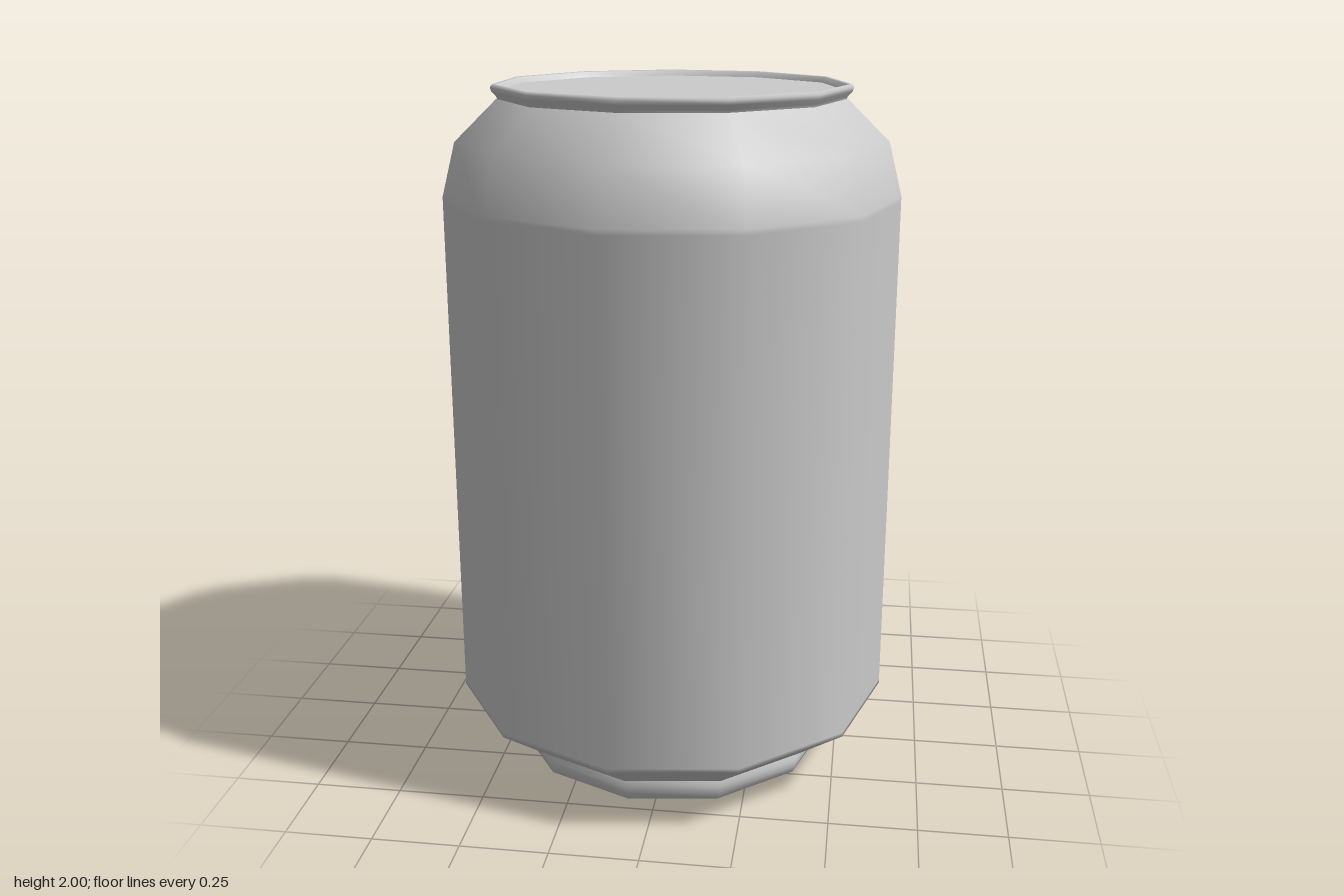
import * as THREE from 'three';

const SIDES = 11;

export function createModel() {
  const can = new THREE.Group();
  can.name = 'drinkCan';
  const metal = new THREE.MeshStandardMaterial({ color: 0xcccccc });

  // smooth ring of revolution with one corner pointing to +x, profile runs [radius, y]
  function ring(name, profile) {
    const points = profile.map(([r, y]) => new THREE.Vector2(r, y));
    const mesh = new THREE.Mesh(new THREE.LatheGeometry(points, SIDES, Math.PI / 2), metal);
    mesh.name = name;
    can.add(mesh);
  }

  // flat end disc facing up (+1) or down (-1)
  function disc(name, radius, y, facing) {
    const mesh = new THREE.Mesh(new THREE.CircleGeometry(radius, SIDES), metal);
    mesh.name = name;
    mesh.rotation.x = -facing * Math.PI / 2;
    mesh.position.y = y;
    can.add(mesh);
  }

  // rounded foot rim and flat base
  disc('base', 0.42, 0.003, -1);
  ring('footRim', [
    [0.42, 0.003], [0.455, 0], [0.473, 0.012], [0.482, 0.035], [0.484, 0.055], [0.478, 0.073],
  ]);

  // wall with tapered bottom and stepped shoulder; extra loops keep the straight part evenly shaded
  ring('body', [
    [0.476, 0.072], [0.49, 0.078], [0.6445, 0.193], [0.6445, 0.205],
    [0.6445, 1.68], [0.6445, 1.695], [0.606, 1.845], [0.487, 1.96],
  ]);

  // rolled top lip, turning inward to the recessed lid
  ring('topLip', [
    [0.484, 1.957], [0.487, 1.967], [0.5, 1.98], [0.503, 1.992], [0.496, 2],
    [0.486, 1.998], [0.478, 1.982],
  ]);
  disc('lid', 0.479, 1.983, 1);

  // centre the odd-sided outline between its corner and its opposite flat
  can.children.forEach((part) => { part.position.x = -0.013; });
  return can;
}
